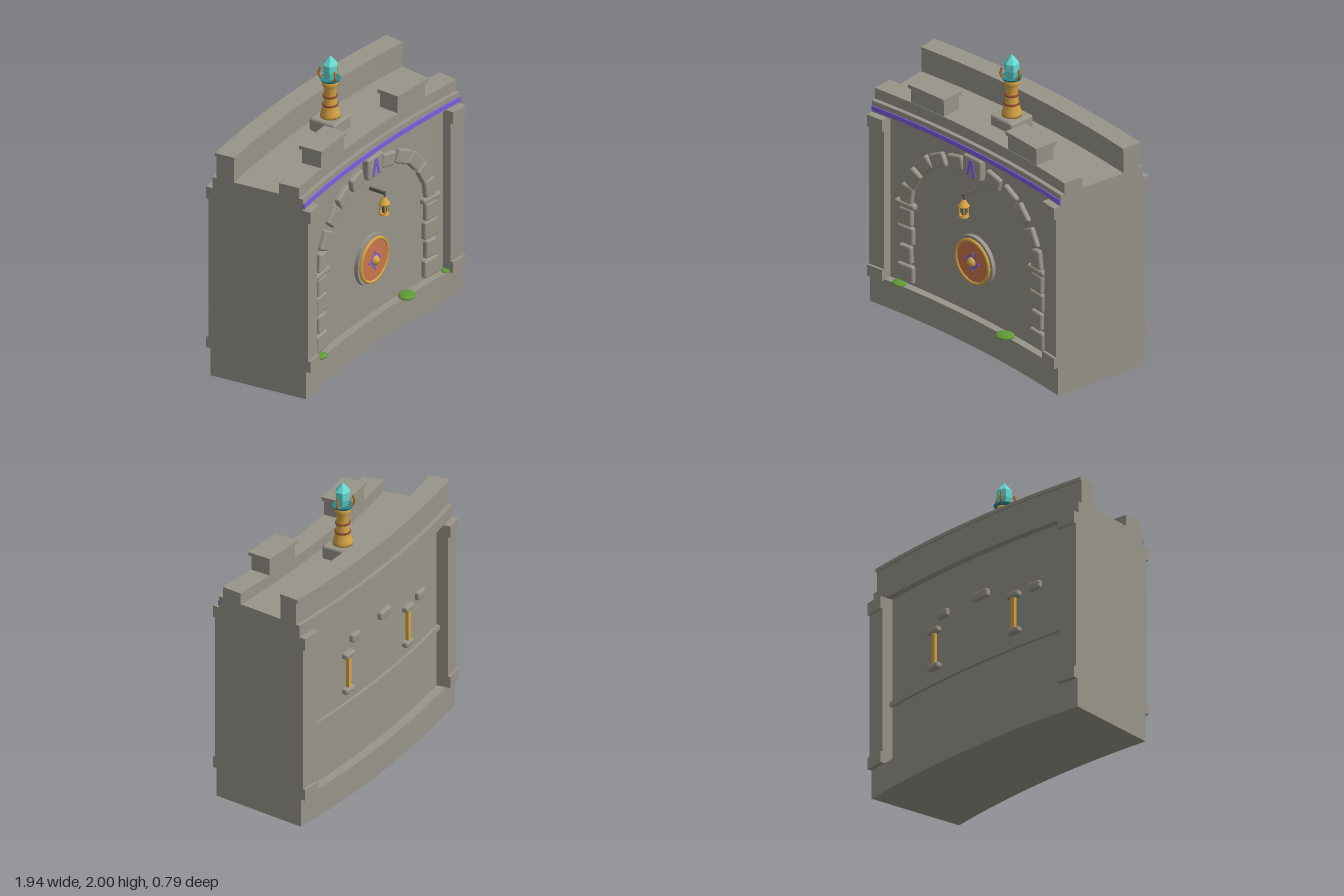
import * as THREE from 'three';
import { RoundedBoxGeometry } from 'three/addons/geometries/RoundedBoxGeometry.js';

const mat = (name, color, extra = {}) => Object.assign(new THREE.MeshStandardMaterial({ color, ...extra }), { name });

export function createModel() {
  const stone = mat('stone', 0x989489);
  const gold = mat('gold', 0xd6a444);
  const bronze = mat('bronze', 0xb0762e);
  const copper = mat('copperBands', 0x8f4c2e);
  const clay = mat('clayOrange', 0xca764c);
  const purple = mat('purple', 0x7c5ee0);
  const crystalTeal = mat('crystalTeal', 0x68dcd4, { flatShading: true });
  const darkTeal = mat('darkTeal', 0x2c858a);
  const moss = mat('moss', 0x609a36);
  const iron = mat('iron', 0x5c5850);

  const model = new THREE.Group();
  model.name = 'curvedWallSection';
  const add = (name, geo, material, parent = model) => {
    const m = new THREE.Mesh(geo, material);
    m.name = name;
    parent.add(m);
    return m;
  };

  // The wall bends around a distant centre in front of it; depth d is z at mid-width.
  const ZC = 7.02, A = Math.PI / 24;
  const arcBlock = (name, a0, a1, d0, d1, y0, y1, material = stone) => {
    const n = Math.max(2, Math.round((a1 - a0) / 0.012));
    const g = new THREE.BoxGeometry(1, 1, 1, n, 1, 1);
    const p = g.attributes.position;
    for (let i = 0; i < p.count; i++) {
      const a = THREE.MathUtils.lerp(a0, a1, p.getX(i) + 0.5);
      const r = ZC - THREE.MathUtils.lerp(d0, d1, p.getZ(i) + 0.5);
      p.setXYZ(i, r * Math.sin(a), y0 + (p.getY(i) + 0.5) * (y1 - y0), ZC - r * Math.cos(a));
    }
    g.computeVertexNormals();
    return add(name, g, material);
  };
  // Sets an object on the curved surface, turned to face the centre.
  const place = (obj, x, y, d, tilt = 0) => {
    const a = Math.asin(x / (ZC - d));
    obj.position.set(x, y, ZC - (ZC - d) * Math.cos(a));
    obj.rotation.set(0, -a, tilt);
    return obj;
  };
  const roundBox = (name, w, h, t, x, y, d, tilt = 0) =>
    place(add(name, new RoundedBoxGeometry(w, h, t, 2, 0.015), stone), x, y, d, tilt);

  // Main masonry
  const WALL = 0.243, BACK = -0.33;
  arcBlock('base', -A, A, -0.396, 0.297, 0, 0.2);
  arcBlock('wallCore', -A, A, BACK, WALL, 0.2, 1.38);
  arcBlock('cornice', -A, A, -0.382, 0.276, 1.38, 1.462);
  arcBlock('purpleStripe', -A, A, 0.276, 0.284, 1.394, 1.427, purple);
  arcBlock('frontParapet', -A, A, 0.1, 0.245, 1.462, 1.54);
  arcBlock('backParapet', -A, A, -0.352, -0.227, 1.462, 1.62);
  arcBlock('backParapetCap', -A, A, -0.365, -0.222, 1.62, 1.643);
  arcBlock('backBand', -0.112, 0.112, BACK - 0.024, BACK, 0.612, 0.645);

  // Corner pilasters and merlons, mirrored
  for (const s of [-1, 1]) {
    const span = (a, b) => (s > 0 ? [a, b] : [-b, -a]);
    const [p0, p1] = span(0.112, A);
    for (const [part, y0, y1, extra] of [['Plinth', 0.2, 0.28, 0.018], ['Shaft', 0.28, 1.295, 0], ['Capital', 1.295, 1.38, 0.018]]) {
      arcBlock('frontPilaster' + part, p0, p1, WALL, 0.31 + extra, y0, y1);
      arcBlock('backPilaster' + part, p0, p1, -0.411 - extra, BACK, y0, y1);
    }
    const [m0, m1] = span(0.0442, 0.0864);
    arcBlock('merlon', m0, m1, 0.1, 0.242, 1.54, 1.645);
    const [c0, c1] = span(0.0427, 0.0885);
    arcBlock('merlonCap', c0, c1, 0.087, 0.255, 1.645, 1.67);

    // Arch: jamb stones, impost, voussoirs
    for (const [w, y] of [[0.135, 0.285], [0.105, 0.425], [0.135, 0.568], [0.11, 0.7]])
      roundBox('jambStone', w, 0.13, 0.064, s * 0.615, y, WALL, -s * (w < 0.12 ? 0.03 : 0));
    roundBox('impost', 0.17, 0.042, 0.08, s * 0.615, 0.79, WALL);
    for (const [x, y, deg] of [[0.605, 0.868, 83], [0.555, 0.998, 61], [0.455, 1.132, 47], [0.333, 1.214, 27], [0.175, 1.262, 13]])
      roundBox('voussoir', 0.138, 0.1, 0.064, s * x, y, WALL, -s * THREE.MathUtils.degToRad(deg));

    // Gold bars with stone brackets on the back
    const bx = s * 0.374;
    place(add('backBar', new THREE.BoxGeometry(0.03, 0.25, 0.024), gold), bx, 0.863, BACK - 0.017);
    for (const y of [0.734, 0.99]) roundBox('backBracket', 0.105, 0.042, 0.08, bx, y, BACK);
  }
  for (const [x, y, w] of [[0.29, 1.083, 0.1], [-0.07, 1.093, 0.14], [-0.555, 1.0, 0.1]])
    roundBox('backStone', w, 0.058, 0.06, x, y, BACK);

  // Keystone with a plain chevron plate
  roundBox('keystone', 0.168, 0.152, 0.1, 0, 1.296, 0.241);
  const chevron = new THREE.Shape([[-0.042, -0.058], [-0.012, 0.058], [0.012, 0.058], [0.042, -0.058],
    [0.021, -0.058], [0, 0.026], [-0.021, -0.058]].map(([x, y]) => new THREE.Vector2(x, y)));
  add('keystoneChevron', new THREE.ExtrudeGeometry(chevron, { depth: 0.006, bevelEnabled: false }), purple)
    .position.set(0, 1.296, 0.29);

  // Round medallion
  const medal = new THREE.Group();
  medal.name = 'medallion';
  medal.position.set(0, 0.605, WALL);
  model.add(medal);
  const disc = (name, r, z0, z1, m) => {
    const g = new THREE.CylinderGeometry(r, r, z1 - z0, 40).rotateX(Math.PI / 2);
    add(name, g, m, medal).position.z = (z0 + z1) / 2;
  };
  disc('medallionStoneRim', 0.181, -0.02, 0.03, stone);
  disc('medallionFace', 0.15, 0.03, 0.037, clay);
  add('medallionGoldRim', new THREE.TorusGeometry(0.151, 0.012, 8, 40), gold, medal).position.z = 0.034;
  add('medallionRing', new THREE.RingGeometry(0.034, 0.049, 32), purple, medal).position.z = 0.041;
  for (let i = 0; i < 4; i++) {
    const a = i * Math.PI / 2;
    const ray = add('medallionRay', new THREE.BoxGeometry(0.01, 0.026, 0.008), purple, medal);
    ray.position.set(Math.sin(a) * 0.056, Math.cos(a) * 0.056, 0.039);
    ray.rotation.z = -a;
  }
  add('medallionBoss', new THREE.SphereGeometry(0.034, 20, 12), gold, medal).position.z = 0.037;

  // Hanging lantern
  const lantern = new THREE.Group();
  lantern.name = 'lantern';
  lantern.position.set(0, 0, 0.356);
  model.add(lantern);
  const rod = (name, pts, r, m, parent) => add(name, new THREE.TubeGeometry(
    new THREE.CatmullRomCurve3(pts.map(p => new THREE.Vector3(...p))), 12, r, 6), m, parent);
  add('lanternArm', new THREE.BoxGeometry(0.018, 0.018, 0.13), iron, lantern).position.set(0, 1.122, -0.057);
  rod('lanternHook', [[0, 1.12, 0], [0.006, 1.108, 0], [0, 1.09, 0]], 0.006, iron, lantern);
  add('lanternRoof', new THREE.CylinderGeometry(0.01, 0.04, 0.045, 8), gold, lantern).position.y = 1.068;
  add('lanternEave', new THREE.CylinderGeometry(0.04, 0.035, 0.01, 8), gold, lantern).position.y = 1.041;
  add('lanternFoot', new THREE.CylinderGeometry(0.032, 0.036, 0.014, 8), gold, lantern).position.y = 0.975;
  add('lanternCore', new THREE.CylinderGeometry(0.016, 0.016, 0.06, 8), iron, lantern).position.y = 1.01;
  for (let i = 0; i < 4; i++) {
    const a = (i + 0.5) * Math.PI / 2;
    add('lanternPost', new THREE.CylinderGeometry(0.005, 0.005, 0.064, 5), gold, lantern)
      .position.set(Math.cos(a) * 0.029, 1.01, Math.sin(a) * 0.029);
  }

  // Moss tufts on the base ledge
  for (const [x, z, r] of [[-0.65, 0.308, 0.053], [0.33, 0.302, 0.066], [0.745, 0.318, 0.036]]) {
    const tuft = add('mossTuft', new THREE.SphereGeometry(r, 14, 8), moss);
    tuft.scale.set(1, 0.29, 0.88);
    tuft.rotation.y = x > 0 ? 0.4 : -0.2;
    tuft.position.set(x, 0.205, z);
  }

  // Crystal beacon on the walkway
  const beacon = new THREE.Group();
  beacon.name = 'beacon';
  beacon.position.z = -0.07;
  model.add(beacon);
  add('beaconPedestal', new RoundedBoxGeometry(0.2, 0.098, 0.2, 2, 0.018), stone, beacon).position.y = 1.508;
  const profile = [[0, 1.55], [0.068, 1.555], [0.066, 1.575], [0.058, 1.6], [0.047, 1.64], [0.042, 1.7],
    [0.041, 1.765], [0.052, 1.785], [0.054, 1.81], [0.045, 1.825], [0, 1.826]];
  add('beaconPillar', new THREE.LatheGeometry(profile.map(([x, y]) => new THREE.Vector2(x, y)), 20), gold, beacon);
  for (const [y, r] of [[1.645, 0.047], [1.708, 0.043]])
    add('beaconBand', new THREE.TorusGeometry(r, 0.008, 8, 24).rotateX(Math.PI / 2), copper, beacon).position.y = y;
  add('beaconCollar', new THREE.CylinderGeometry(0.07, 0.062, 0.014, 20), darkTeal, beacon).position.y = 1.83;
  const facets = [[0.035, 1.835], [0.051, 1.885], [0.052, 1.938], [0, 2]].map(([x, y]) => new THREE.Vector2(x, y));
  add('beaconCrystal', new THREE.LatheGeometry(facets, 6), crystalTeal, beacon);
  for (let i = 0; i < 3; i++) {
    const claw = rod('beaconClaw', [[0.045, 1.832, 0], [0.068, 1.845, 0], [0.075, 1.87, 0], [0.07, 1.892, 0], [0.064, 1.91, 0]], 0.008, bronze, beacon);
    claw.rotation.y = i * Math.PI * 2 / 3;
  }
  return model;
}
